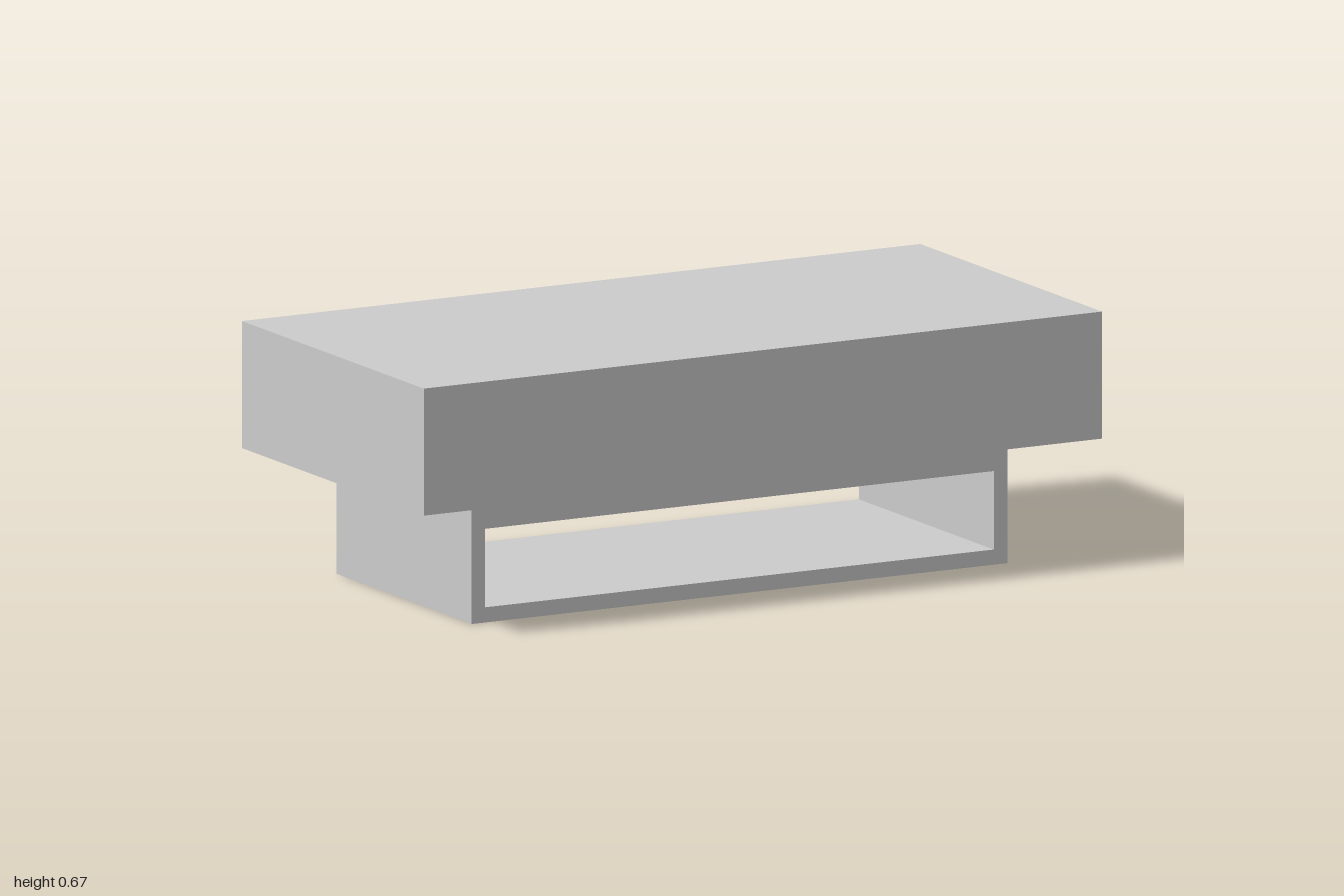
import * as THREE from 'three';

const material = new THREE.MeshStandardMaterial({ color: 0xcccccc, flatShading: true });

// Box spanning [x0,x1] x [y0,y1] x [z0,z1]
function block(name, [x0, x1], [y0, y1], [z0, z1]) {
  const mesh = new THREE.Mesh(new THREE.BoxGeometry(x1 - x0, y1 - y0, z1 - z0), material);
  mesh.position.set((x0 + x1) / 2, (y0 + y1) / 2, (z0 + z1) / 2);
  mesh.name = name;
  return mesh;
}

export function createModel() {
  const model = new THREE.Group();
  model.name = 'table';

  const top = 0.665, joint = 0.33;    // slab top and slab underside
  const w = 0.79, d = 0.36, t = 0.04; // base half width, half depth, wall thickness
  const openingTop = 0.247;

  // Thick overhanging slab
  model.add(block('topSlab', [-1, 1], [joint, top], [-0.485, 0.485]));

  // Hollow base: floor and side walls as one U-shaped extrusion, open to the slab
  const base = new THREE.Group();
  base.name = 'base';
  const profile = new THREE.Shape([
    [-w, 0], [w, 0], [w, joint], [w - t, joint],
    [w - t, t], [-w + t, t], [-w + t, joint], [-w, joint],
  ].map(([x, y]) => new THREE.Vector2(x, y)));
  const tray = new THREE.Mesh(
    new THREE.ExtrudeGeometry(profile, { depth: 2 * d, bevelEnabled: false }), material);
  tray.position.z = -d;
  tray.name = 'floorAndSides';
  base.add(tray);

  // Rails above the front and back openings
  const railX = [-w + t, w - t], railY = [openingTop, joint];
  base.add(block('frontRail', railX, railY, [d - t, d]));
  base.add(block('backRail', railX, railY, [-d, -d + t]));
  model.add(base);

  return model;
}
